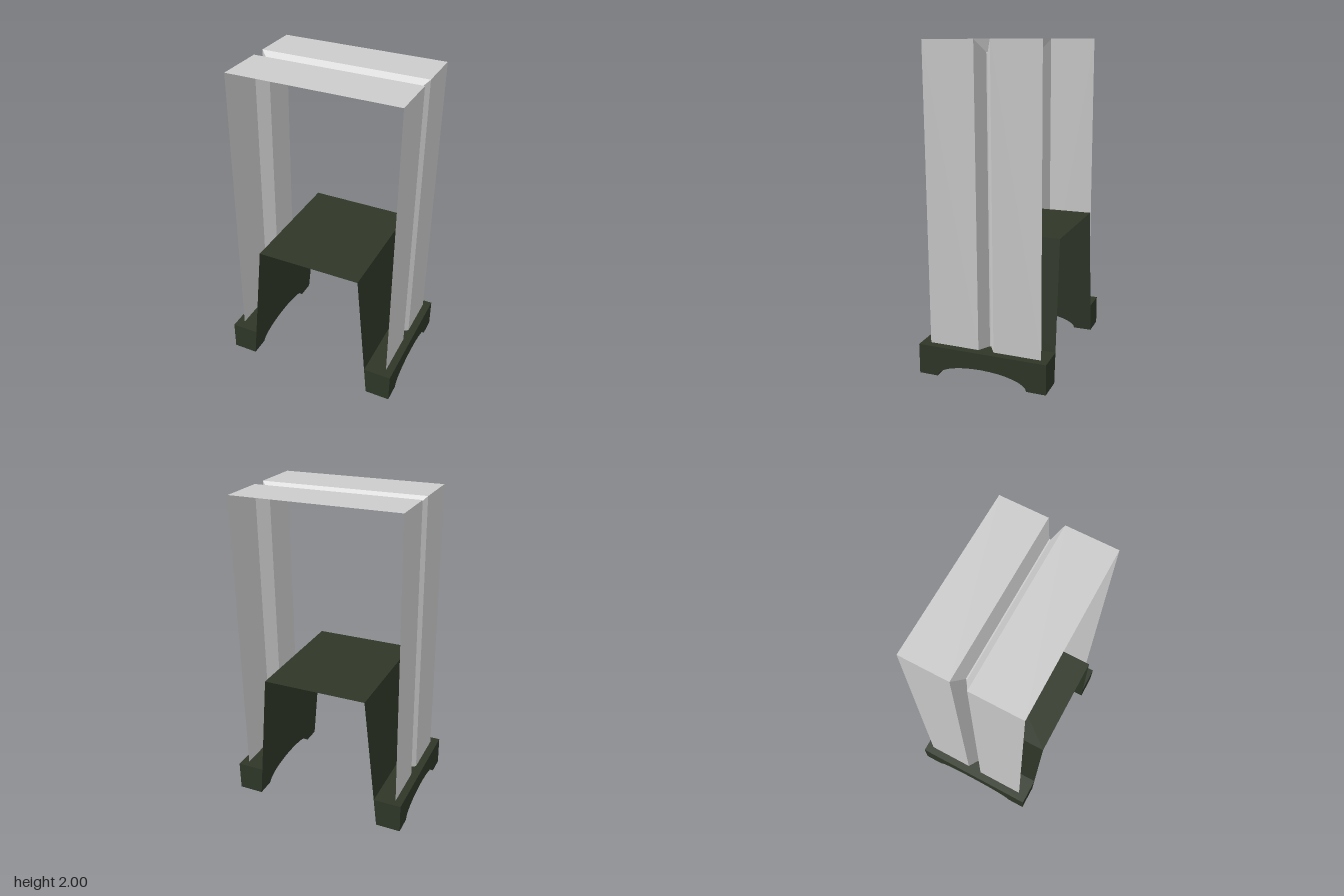
import * as THREE from 'three';

const grey = new THREE.MeshStandardMaterial({ color: 0xcccccc, flatShading: true, side: THREE.DoubleSide });
const dark = new THREE.MeshStandardMaterial({ color: 0x2f3728, flatShading: true, side: THREE.DoubleSide });

// Thin faceted sheet through rows of [x, y, z] points
function sheet(rows, material, name) {
  const n = rows[0].length, index = [];
  for (let i = 0; i < rows.length - 1; i++) {
    for (let j = 0; j < n - 1; j++) {
      const a = i * n + j, b = a + n;
      index.push(a, b, a + 1, b, b + 1, a + 1);
    }
  }
  const g = new THREE.BufferGeometry();
  g.setAttribute('position', new THREE.Float32BufferAttribute(rows.flat(2), 3));
  g.setIndex(index);
  const flat = g.toNonIndexed();
  flat.computeVertexNormals();
  const mesh = new THREE.Mesh(flat, material);
  mesh.name = name;
  return mesh;
}

const HALF_W = 0.405, FOOT_H = 0.187, STEP_Y = 0.865;
const innerZ = (y) => 0.413 - (0.083 * y) / STEP_Y; // slope of the inner panels

// Foot block with an arched underside and a sloping inner face
function footGeometry() {
  const s = new THREE.Shape();
  s.moveTo(-HALF_W, 0);
  for (let i = 0; i <= 16; i++) {
    const a = Math.PI * (1 - i / 16);
    s.lineTo(0.285 * Math.cos(a), 0.085 * Math.sin(a));
  }
  s.lineTo(HALF_W, 0);
  s.lineTo(HALF_W, FOOT_H);
  s.lineTo(-HALF_W, FOOT_H);
  s.closePath();
  const g = new THREE.ExtrudeGeometry(s, { depth: 1, bevelEnabled: false });
  const p = g.attributes.position;
  for (let i = 0; i < p.count; i++) {
    p.setZ(i, p.getZ(i) > 0.5 ? 0.57 : innerZ(p.getY(i)));
  }
  g.computeVertexNormals();
  return g;
}

export function createModel() {
  const root = new THREE.Group();
  const body = new THREE.Group();
  body.name = 'stand';
  root.add(body);

  // Outer arch: folded sheet with a V groove running over its middle
  const profile = [[-0.354, 0], [-0.04, 0], [0.004, 0.072], [0.012, 0.072], [0.057, 0], [0.354, 0]];
  const rows = profile.map(([x, d]) => {
    const z = 0.522 - d, top = 1.988 - d;
    return [[x, FOOT_H, z], [x, top, z], [x, top, -z], [x, FOOT_H, -z]];
  });
  const arch = sheet(rows, grey, 'groovedArch');
  arch.position.x = 0.006;
  body.add(arch);

  // Inner step: sloping panels joined by a flat plate
  const zt = innerZ(STEP_Y), zb = innerZ(FOOT_H);
  body.add(sheet([-HALF_W, HALF_W].map((x) => [
    [x, FOOT_H, zb], [x, STEP_Y, zt], [x, STEP_Y, -zt], [x, FOOT_H, -zb],
  ]), dark, 'innerStep'));

  // Feet, front and back
  const foot = footGeometry();
  for (const [name, turn] of [['frontFoot', 0], ['backFoot', Math.PI]]) {
    const mesh = new THREE.Mesh(foot, dark);
    mesh.name = name;
    mesh.rotation.y = turn;
    body.add(mesh);
  }

  // Turned about the vertical with a very slight lean
  body.rotation.set(0.01, 0.253, 0, 'YXZ');
  body.position.y = 0.006;
  return root;
}
